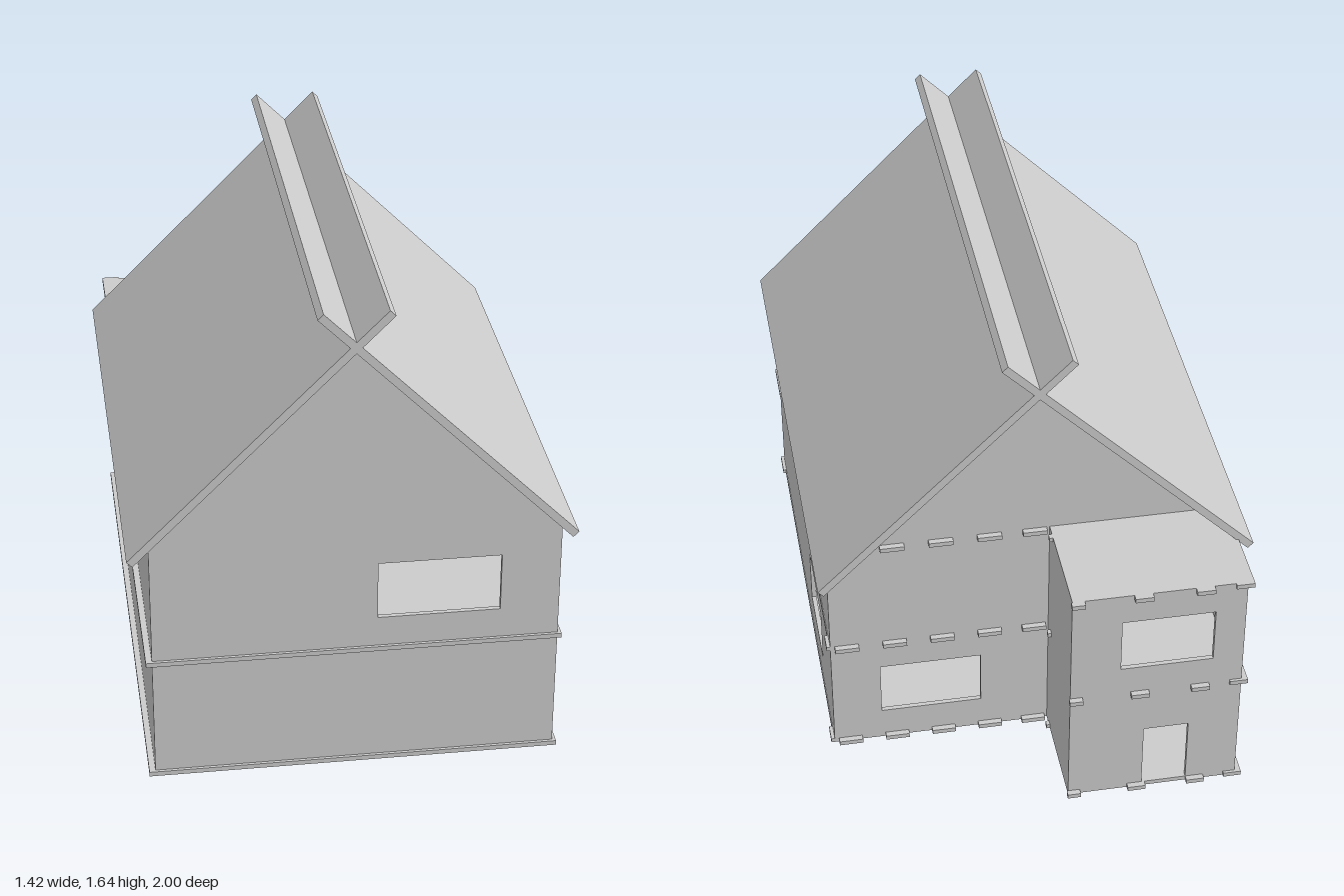
import * as THREE from 'three';

const T = 0.016; // sheet thickness
const X0 = -0.64, X1 = 0.665, ZF = 0.965, ZB = -0.6; // main block
const TX = -0.07, TZ = -0.98; // rear wing
const Y1 = 0.42, Y2 = 0.835; // upper floor and ceiling levels

export function createModel() {
  const house = new THREE.Group();
  house.name = 'house';
  const mat = new THREE.MeshStandardMaterial({ color: 0xcccccc, flatShading: true });

  const add = (name, geometry, parent = house) => {
    const mesh = new THREE.Mesh(geometry, mat);
    mesh.name = name;
    parent.add(mesh);
    return mesh;
  };
  const box = (name, x0, x1, y0, y1, z0, z1) =>
    add(name, new THREE.BoxGeometry(x1 - x0, y1 - y0, z1 - z0))
      .position.set((x0 + x1) / 2, (y0 + y1) / 2, (z0 + z1) / 2);

  // Flat sheet from an outline, with rectangular holes [u0, u1, v0, v1]
  const sheet = (points, holes = []) => {
    const shape = new THREE.Shape(points.map(p => new THREE.Vector2(...p)));
    for (const [a, b, c, d] of holes) {
      shape.holes.push(new THREE.Path([[a, c], [a, d], [b, d], [b, c]].map(p => new THREE.Vector2(...p))));
    }
    return new THREE.ExtrudeGeometry(shape, { depth: T, bevelEnabled: false });
  };
  const rect = (a, b, c, d) => [[a, c], [b, c], [b, d], [a, d]];

  // Wall across x, from z to z + T
  const wallX = (name, points, z, holes) => { add(name, sheet(points, holes)).position.z = z; };
  // Wall along z, from x to x + T; z values are mirrored into the sheet's u axis
  const wallZ = (name, x, z0, z1, y0, y1, holes = []) => {
    const g = sheet(rect(-z1, -z0, y0, y1), holes.map(([a, b, c, d]) => [-b, -a, c, d]));
    add(name, g.rotateY(Math.PI / 2)).position.x = x;
  };

  // Front wall with its gable, in two storeys
  wallX('lowerFrontWall', rect(X0, X1, 0, Y1 + T), ZF - T);
  wallX('upperFrontWall', [[X0, Y1 + T], [X1, Y1 + T], [X1, 0.84], [0, 1.505], [X0, 0.865]], ZF - T,
    [[0.08, 0.475, 0.54, 0.74]]);

  // Side walls
  wallZ('leftWall', X1 - T, ZB, ZF, 0, 0.845, [[-0.3, 0.02, 0.12, 0.32]]);
  wallZ('rightWall', X0, TZ, ZF, 0, Y2, [[-0.48, -0.235, 0.54, 0.74]]);
  box('rightWallTop', X0, X0 + T, Y2, 0.86, ZB, ZF);

  // Back wall, rear gable and wing walls
  wallX('backWall', rect(TX, X1, 0, Y2), ZB, [[0.16, 0.5, 0.12, 0.32]]);
  wallX('rearGable', [[X0, Y2], [X1, Y2], [X1, 0.84], [0, 1.505], [X0, 0.865]], ZB);
  wallZ('wingSideWall', TX - T, TZ, ZB, 0, Y2);
  wallX('wingBackWall', rect(X0, TX, 0, Y2), TZ,
    [[-0.54, -0.235, 0.54, 0.74], [-0.47, -0.32, T, 0.26]]);

  // Inner partitions with doorways
  wallZ('lowerPartition', -0.045, ZB, ZF - T, T, Y1, [[-0.4, -0.21, 0.02, 0.26]]);
  wallZ('upperPartition', -0.045, ZB, ZF - T, Y1 + T, Y2);
  wallX('crossPartition', rect(-0.03, X1 - T, Y1 + T, Y2), -0.2, [[0.16, 0.35, 0.44, 0.68]]);

  // L-shaped floor plates with finger-joint tabs along the back
  const plate = (name, y, x0, x1, zf) => {
    const points = [[x0, -zf], [x1, -zf], [x1, -ZB], [TX, -ZB], [TX, -TZ], [-0.66, -TZ]];
    if (x0 !== -0.66) points.push([-0.66, -ZB], [x0, -ZB]);
    add(name, sheet(points).rotateX(-Math.PI / 2)).position.y = y;
    for (const x of [-0.63, -0.5, -0.3, -0.088]) {
      const w = x === -0.088 ? 0.022 : 0.03;
      box(name + 'WingTab', x - w, x + w, y, y + T, x === -0.63 ? -0.99 : -1, TZ);
    }
    for (const x of [-0.02, 0.13, 0.29, 0.45, 0.61]) {
      box(name + 'BackTab', x - 0.04, x + 0.04, y, y + T, ZB - 0.02, ZB);
    }
    box(name + 'InnerCornerTab', TX, TX + 0.012, y, y + T, ZB - 0.06, ZB - 0.04);
  };
  plate('groundFloor', 0, -0.66, 0.668, 0.975);
  plate('upperFloor', Y1, -0.66, 0.668, 0.975);
  plate('ceiling', Y2, X0 + 0.004, X1 - 0.004, ZF - 0.004);

  // Tabs at the ends of the left wall
  [[0, 0.89], [Y1, 0.82]].forEach(([y, z]) => {
    box('frontCornerTab', 0.66, 0.677, y, y + T, z, 0.975);
    box('backCornerTab', 0.66, 0.677, y, y + T, ZB, ZB + 0.06);
  });

  // Two roof boards crossing above the ridge
  for (const s of [1, -1]) {
    const board = add(s > 0 ? 'leftRoofBoard' : 'rightRoofBoard', new THREE.BoxGeometry(1.146, 0.026, 1.77));
    board.position.set(s * 0.296, 1.225, 0.115);
    board.rotation.z = -s * Math.PI / 4;
  }
  return house;
}
